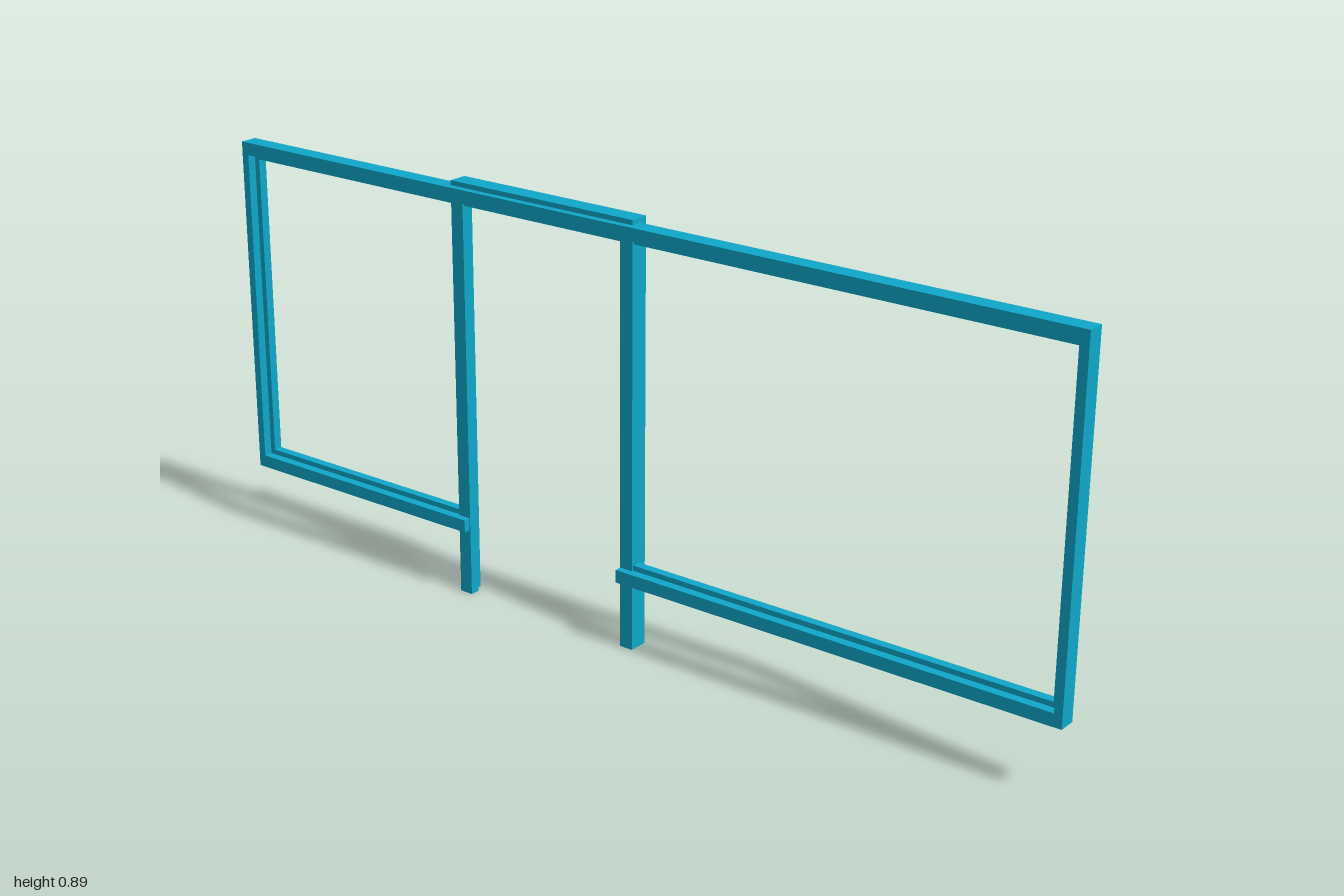
import * as THREE from 'three';

export function createModel() {
  const model = new THREE.Group();
  const material = new THREE.MeshStandardMaterial({ color: 0x0fa8cb, flatShading: true });
  const WORLD_Z = new THREE.Vector3(0, 0, 1);

  // Stepped section: u runs from the outer edge into the opening, z is depth.
  // The front half reaches uFront, the back half reaches uBack.
  function section(uFront, uBack, zBack, zStep, zFront) {
    return new THREE.Shape([
      [0, zBack], [uBack, zBack], [uBack, zStep], [uFront, zStep], [uFront, zFront], [0, zFront],
    ].map(([u, z]) => new THREE.Vector2(u, z)));
  }

  // Straight bar centred on (x, y) of its outer edge, with its section facing "inward".
  function bar(group, name, shape, length, x, y, inX, inY) {
    const geometry = new THREE.ExtrudeGeometry(shape, { depth: length, bevelEnabled: false });
    geometry.translate(0, 0, -length / 2);
    const inward = new THREE.Vector3(inX, inY, 0);
    const along = inward.clone().cross(WORLD_Z);
    geometry.applyMatrix4(new THREE.Matrix4().makeBasis(inward, WORLD_Z, along));
    const mesh = new THREE.Mesh(geometry, material);
    mesh.name = name;
    mesh.position.set(x, y, 0);
    group.add(mesh);
  }

  // Window frame, rebated on the front
  const windowFrame = new THREE.Group();
  windowFrame.name = 'windowFrame';
  const top = 0.88, bottom = 0.145, railFace = 0.027;
  const rail = section(railFace, 0.038, -0.01, 0.009, 0.028);
  const jamb = section(0.017, 0.029, -0.01, 0.009, 0.028);
  bar(windowFrame, 'topRail', rail, 2, 0, top, 0, -1);
  for (const [name, x0, x1] of [['rightSill', -1, -0.393], ['leftSill', 0.007, 1]]) {
    bar(windowFrame, name, rail, x1 - x0, (x0 + x1) / 2, bottom, 0, 1);
  }
  const jambLength = top - bottom - 2 * railFace;
  for (const s of [-1, 1]) {
    bar(windowFrame, s < 0 ? 'rightJamb' : 'leftJamb', jamb, jambLength, s, (top + bottom) / 2, -s, 0);
  }

  // Door frame, rebated on the back and open at the floor
  const doorFrame = new THREE.Group();
  doorFrame.name = 'doorFrame';
  const doorLeft = 0.036, doorRight = -0.421, doorTop = 0.89, backFace = 0.018;
  const post = section(0.03, backFace, -0.028, -0.008, 0.013);
  bar(doorFrame, 'doorHeader', post, doorLeft - doorRight, (doorLeft + doorRight) / 2, doorTop, 0, -1);
  const postHeight = doorTop - backFace;
  bar(doorFrame, 'rightPost', post, postHeight, doorRight, postHeight / 2, 1, 0);
  bar(doorFrame, 'leftPost', post, postHeight, doorLeft, postHeight / 2, -1, 0);

  model.add(windowFrame, doorFrame);
  return model;
}
